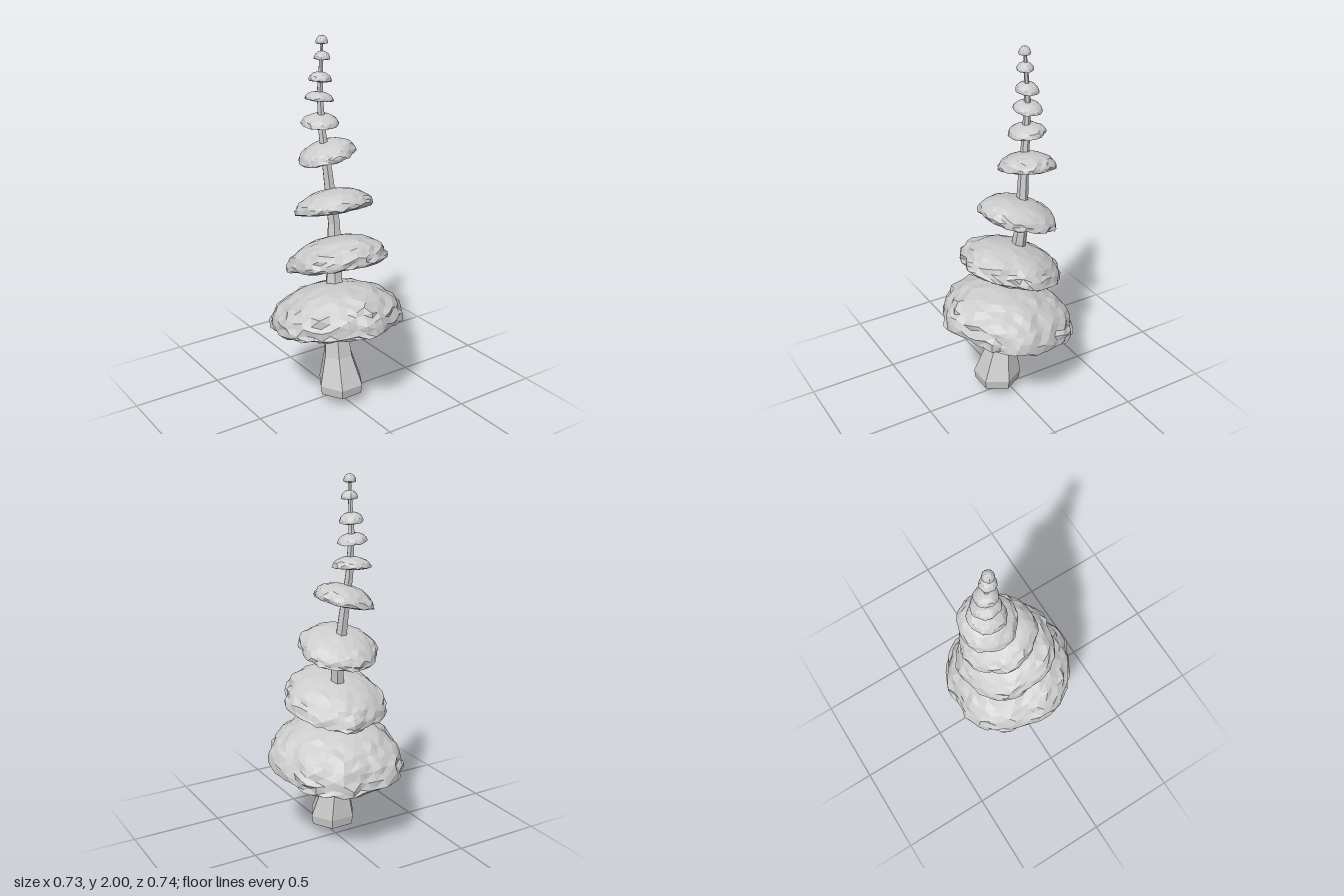
import * as THREE from 'three';

const grey = new THREE.MeshStandardMaterial({ color: 0xcccccc, flatShading: true });

// Repeatable noise in -1..1 from a position, so shared corners move together
function noise(v, seed) {
  const q = (n) => Math.round(n * 1000) / 1000 + 0;
  const s = Math.sin(q(v.x) * 127.1 + q(v.y) * 311.7 + q(v.z) * 74.7 + seed * 19.3) * 43758.5453;
  return (s - Math.floor(s)) * 2 - 1;
}

// Trunk stations from root to tip: y, x, z, radius
const TRUNK = [
  [0.06, -0.013, 0.06, 0.125],
  [0.11, -0.013, 0.06, 0.132],
  [0.27, -0.014, 0.035, 0.085],
  [0.42, -0.014, 0.02, 0.067],
  [0.7, 0.005, -0.03, 0.048],
  [1.0, 0.028, -0.065, 0.036],
  [1.3, 0.005, -0.093, 0.028],
  [1.5, -0.012, -0.115, 0.022],
  [1.7, -0.017, -0.127, 0.017],
  [1.85, -0.015, -0.117, 0.012],
  [1.97, -0.015, -0.108, 0.008],
];

// Bent, tapering six-sided trunk with a flared, pointed foot
function makeTrunk() {
  const n = TRUNK.length - 1;
  const geo = new THREE.CylinderGeometry(1, 1, 1, 6, n).rotateY(Math.PI / 6);
  const p = geo.attributes.position;
  for (let i = 0; i < p.count; i++) {
    const level = Math.round((p.getY(i) + 0.5) * n);
    const [y, x, z, r] = TRUNK[level];
    const isFootTip = level === 0 && Math.hypot(p.getX(i), p.getZ(i)) < 0.01;
    p.setXYZ(i, x + p.getX(i) * r, isFootTip ? 0 : y, z + p.getZ(i) * r);
  }
  geo.computeVertexNormals();
  const mesh = new THREE.Mesh(geo, grey);
  mesh.name = 'trunk';
  return mesh;
}

// Foliage tiers: centre x, y, z, radius, height, rise per x, rise per z, detail
const TIERS = [
  [0.0, 0.455, 0.0, 0.36, 0.225, -0.03, 0.17, 7],
  [0.012, 0.795, -0.013, 0.27, 0.15, 0, 0.27, 6],
  [0.015, 1.09, -0.055, 0.205, 0.11, 0, 0.26, 5],
  [0.012, 1.365, -0.108, 0.15, 0.085, 0.2, 0.08, 5],
  [-0.017, 1.54, -0.125, 0.098, 0.053, 0.04, -0.06, 4],
  [-0.018, 1.668, -0.13, 0.075, 0.042, -0.13, 0.02, 3],
  [-0.016, 1.768, -0.124, 0.06, 0.045, -0.1, 0.05, 3],
  [-0.013, 1.882, -0.109, 0.043, 0.038, -0.05, 0, 2],
  [-0.016, 1.962, -0.107, 0.031, 0.038, 0, 0, 2],
];

// Rugged dome with a nearly flat underside, tilted with the bend of the tree
function makeTier([cx, cy, cz, radius, height, riseX, riseZ, detail], seed) {
  const geo = new THREE.IcosahedronGeometry(1, detail);
  const p = geo.attributes.position;
  const v = new THREE.Vector3();
  for (let i = 0; i < p.count; i++) {
    v.fromBufferAttribute(p, i);
    const angle = Math.atan2(v.z, v.x);
    const lobes = 0.025 * Math.sin(angle * 5 + seed * 2) + 0.015 * Math.sin(angle * 9 + seed);
    const edge = Math.hypot(v.x, v.z);
    const out = radius * (1 + lobes * edge + 0.035 * noise(v, seed));
    const bump = 0.05 * noise(v, seed + 50) * height * edge;
    const up = v.y > 0 ? v.y * height : v.y * height * 0.2;
    const x = v.x * out;
    const z = v.z * out;
    p.setXYZ(i, x, up + bump + x * riseX + z * riseZ, z);
  }
  geo.computeVertexNormals();
  const mesh = new THREE.Mesh(geo, grey);
  mesh.position.set(cx, cy, cz);
  mesh.name = `foliageTier${seed + 1}`;
  return mesh;
}

export function createModel() {
  const tree = new THREE.Group();
  tree.name = 'tieredTree';
  tree.add(makeTrunk());
  TIERS.forEach((tier, i) => tree.add(makeTier(tier, i)));
  return tree;
}
